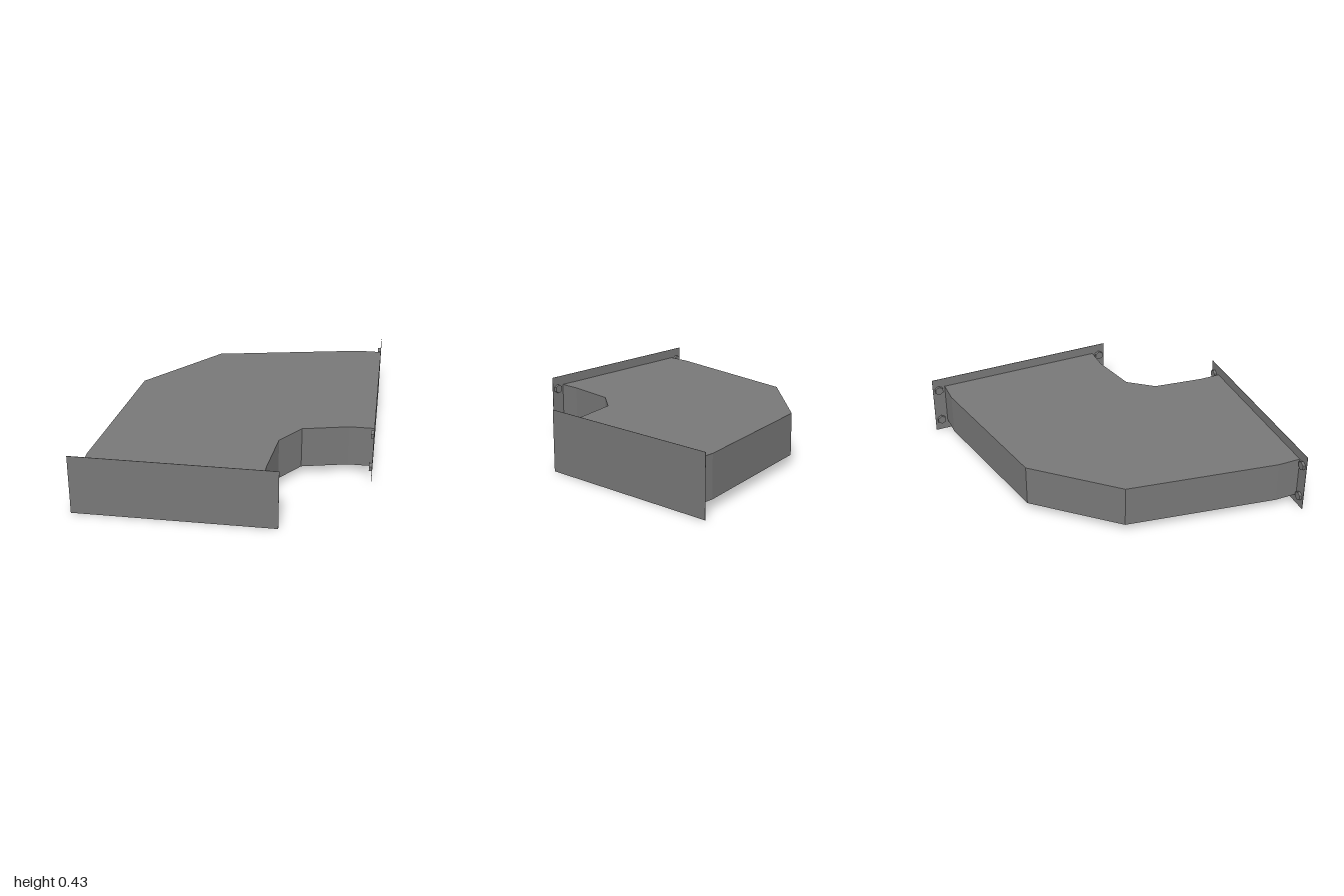
import * as THREE from 'three';

const material = new THREE.MeshStandardMaterial({ color: 0x777777, flatShading: true });

const WIDTH = 1.352;  // flange width
const HEIGHT = 0.428; // flange height
const PLATE = 0.003;  // flange thickness

// Thin end plate facing +z, with hexagonal bolts on its duct side
function createFlange(name) {
  const flange = new THREE.Group();
  flange.name = name;

  const plate = new THREE.Mesh(new THREE.BoxGeometry(WIDTH, HEIGHT, PLATE), material);
  plate.name = 'flangePlate';
  plate.position.z = -PLATE / 2;
  flange.add(plate);

  const boltGeometry = new THREE.CylinderGeometry(0.032, 0.032, 0.02, 6).rotateX(Math.PI / 2);
  for (const sx of [-1, 1]) {
    for (const sy of [-1, 1]) {
      const bolt = new THREE.Mesh(boltGeometry, material);
      bolt.name = 'bolt';
      bolt.position.set(sx * 0.632, sy * 0.126, -0.012);
      flange.add(bolt);
    }
  }
  return flange;
}

export function createModel() {
  const model = new THREE.Group();
  model.name = 'ductElbow';

  // Duct body: plan outline as [x, z], extruded upwards
  const outline = [
    [0.955, -0.91], [0.79, -0.91], [-0.23, -0.717], [-0.707, -0.207], [-0.868, 0.84], [-0.868, 0.998],
    [0.297, 0.998], [0.297, 0.85], [0.34, 0.502], [0.477, 0.33], [0.79, 0.26], [0.955, 0.26],
  ];
  const shape = new THREE.Shape(outline.map(([x, z]) => new THREE.Vector2(x, -z)));
  const bodyGeometry = new THREE.ExtrudeGeometry(shape, { depth: 0.294, bevelEnabled: false });
  bodyGeometry.rotateX(-Math.PI / 2);
  const body = new THREE.Mesh(bodyGeometry, material);
  body.name = 'ductBody';
  body.position.y = 0.067;
  model.add(body);

  // End flanges at the two mouths of the elbow
  const front = createFlange('frontFlange');
  front.position.set(-0.281, HEIGHT / 2, 1);
  model.add(front);

  const side = createFlange('sideFlange');
  side.rotation.y = Math.PI / 2;
  side.position.set(0.957, HEIGHT / 2, -0.324);
  model.add(side);

  return model;
}
